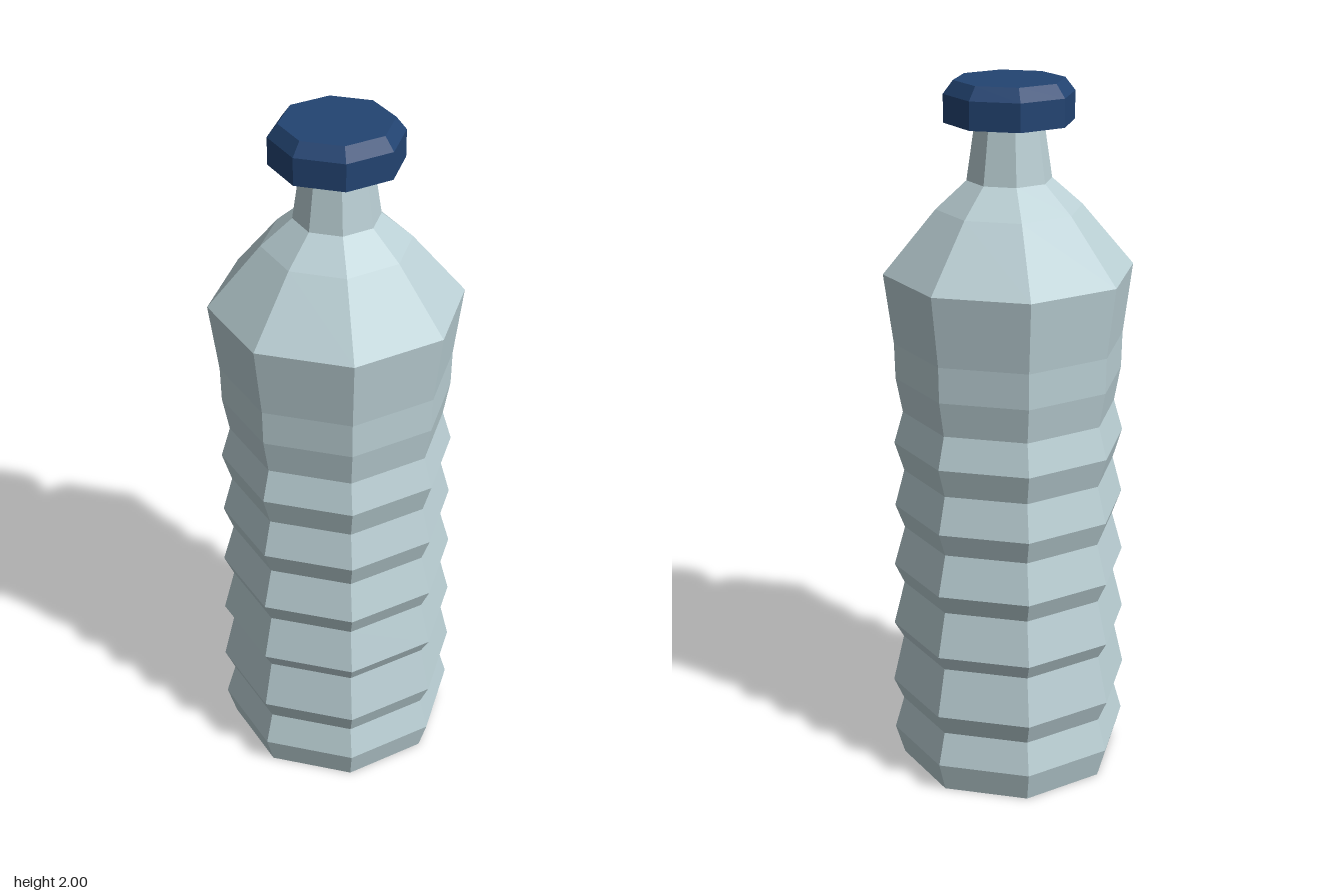
import * as THREE from 'three';

const SIDES = 8;
const DEPTH = 0.977; // slightly narrower front to back

// Faceted eight-sided solid from a [radius, height] profile, bottom to top
function facetedLathe(name, profile, material) {
  const points = profile.map(([r, y]) => new THREE.Vector2(r, y));
  const geometry = new THREE.LatheGeometry(points, SIDES).toNonIndexed();
  geometry.scale(1, 1, DEPTH);
  geometry.computeVertexNormals();
  const mesh = new THREE.Mesh(geometry, material);
  mesh.name = name;
  return mesh;
}

export function createModel() {
  const plastic = new THREE.MeshStandardMaterial({ color: 0xbbd0d5, flatShading: true });
  plastic.name = 'pale plastic';
  const blue = new THREE.MeshStandardMaterial({ color: 0x234472, flatShading: true });
  blue.name = 'cap blue';

  const bottle = new THREE.Group();
  bottle.name = 'bottle';

  // Ribbed body with its closed base
  bottle.add(facetedLathe('body', [
    [0, 0], [0.318, 0], [0.344, 0.09], [0.317, 0.185], [0.345, 0.25],
    [0.313, 0.39], [0.339, 0.437], [0.307, 0.565], [0.334, 0.625],
    [0.302, 0.74], [0.328, 0.81], [0.3, 0.915], [0.326, 1.0],
    [0.3, 1.09], [0.318, 1.19], [0.32, 1.29], [0.345, 1.487],
  ], plastic));

  // Sloping shoulder
  bottle.add(facetedLathe('shoulder', [
    [0.345, 1.487], [0.2, 1.66], [0.116, 1.735],
  ], plastic));

  // Tapered neck
  bottle.add(facetedLathe('neck', [[0.116, 1.735], [0.095, 1.875]], plastic));

  // Collar under the cap
  bottle.add(facetedLathe('collar', [[0.095, 1.875], [0.094, 1.89]], blue));

  // Cap with a bevelled top edge
  bottle.add(facetedLathe('cap', [
    [0, 1.89], [0.176, 1.89], [0.176, 1.965], [0.149, 2], [0, 2],
  ], blue));

  return bottle;
}
